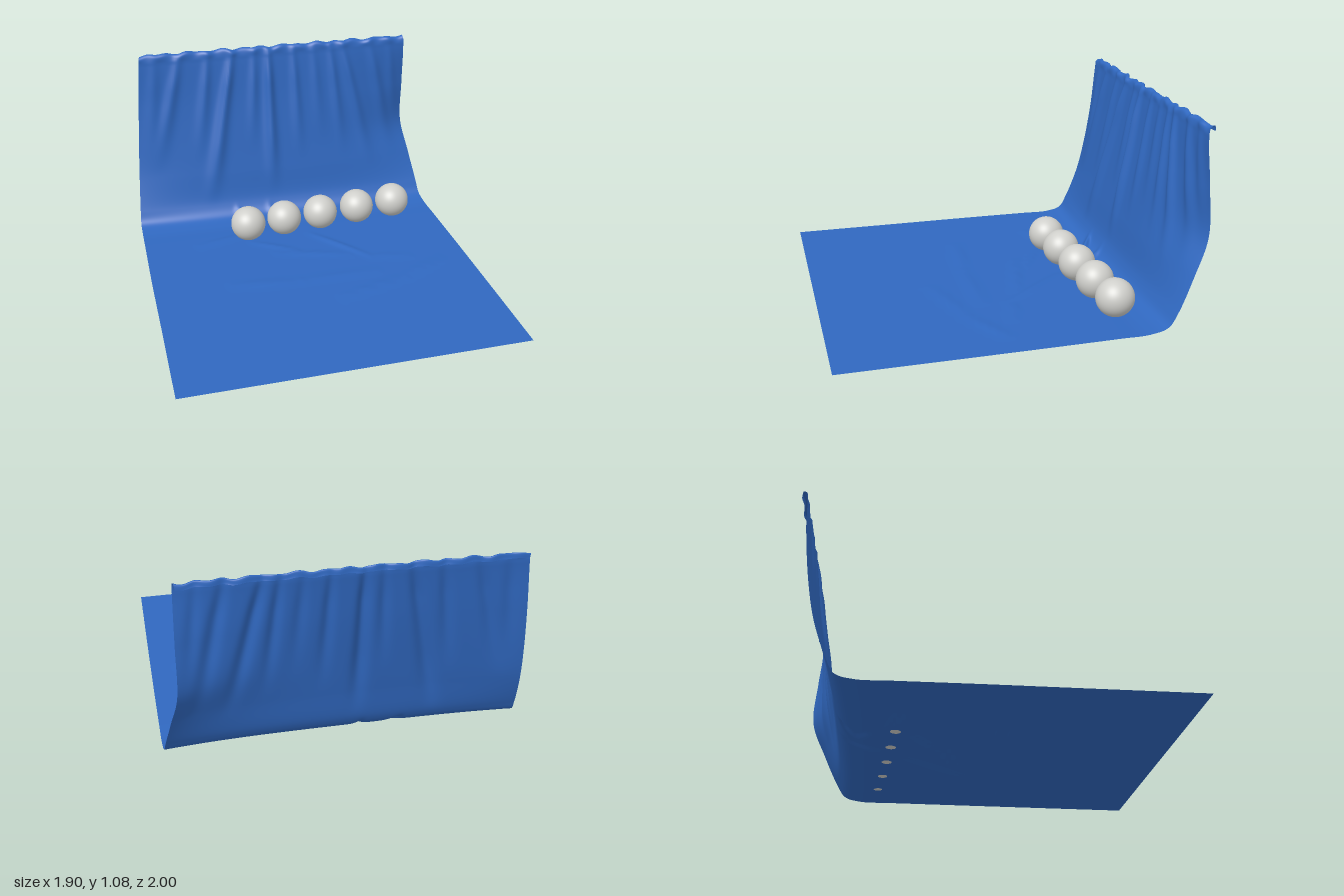
import * as THREE from 'three';

const blue = new THREE.MeshStandardMaterial({ color: 0x3068c0, side: THREE.DoubleSide });
blue.name = 'blue cloth';
const grey = new THREE.MeshStandardMaterial({ color: 0xcfcfcb });
grey.name = 'pale grey';

const curve = (pts) => new THREE.CatmullRomCurve3(pts.map((p) => new THREE.Vector3(...p)));

// Cloth cross-sections, running from the front of the floor up to the rolled hem
const leftEdge = curve([
  [-0.94, 0.004, 1], [-0.945, 0.004, 0.4], [-0.95, 0.004, -0.1], [-0.95, 0.004, -0.5], [-0.95, 0.005, -0.67],
  [-0.95, 0.03, -0.76], [-0.945, 0.1, -0.8], [-0.93, 0.3, -0.87], [-0.915, 0.5, -0.91], [-0.895, 0.75, -0.94],
  [-0.875, 1, -0.955], [-0.87, 1.06, -0.962], [-0.865, 1.07, -0.98], [-0.86, 1.045, -0.985],
]);
const middle = curve([
  [0, 0.004, 0.982], [0, 0.004, 0.4], [0, 0.004, -0.1], [0, 0.004, -0.5], [0, 0.006, -0.65],
  [0, 0.03, -0.735], [0, 0.1, -0.785], [0, 0.3, -0.83], [0, 0.5, -0.87], [0, 0.75, -0.915],
  [0, 1, -0.95], [0, 1.06, -0.96], [0, 1.072, -0.98], [0, 1.045, -0.987],
]);
const rightEdge = curve([
  [0.95, 0.004, 0.964], [0.94, 0.004, 0.4], [0.93, 0.004, -0.1], [0.92, 0.004, -0.5], [0.915, 0.005, -0.67],
  [0.908, 0.03, -0.77], [0.9, 0.1, -0.82], [0.868, 0.28, -0.91], [0.832, 0.48, -0.992], [0.827, 0.75, -0.98],
  [0.822, 1, -0.957], [0.82, 1.06, -0.962], [0.815, 1.07, -0.985], [0.81, 1.045, -0.992],
]);

// Hanging folds: x at the top, sideways drift towards the floor, width, depth, lowest height
const folds = [
  [-0.78, -0.1, 0.05, 0.012, 0.3], [-0.63, -0.25, 0.045, 0.02, 0.3], [-0.45, -0.14, 0.04, 0.018, 0.35],
  [-0.3, -0.2, 0.04, 0.028, 0.05], [-0.16, -0.06, 0.035, 0.016, 0.4], [-0.07, -0.01, 0.035, 0.03, 0.1],
  [0.09, 0.03, 0.035, 0.018, 0.3], [0.22, 0.06, 0.04, 0.012, 0.4], [0.33, 0.1, 0.035, 0.018, 0.3],
  [0.41, 0.22, 0.04, 0.022, 0.2], [0.59, 0.2, 0.045, 0.02, 0.25], [0.72, 0.1, 0.04, 0.01, 0.4],
];

// Floor wrinkles: x and z of both ends, width, height
const wrinkles = [
  [-0.5, 0.06, -0.1, 0.1, 0.035, 0.008], [-0.1, 0.1, 0.36, 0.09, 0.035, 0.008],
  [0.08, 0.33, 0.5, 0.2, 0.03, 0.008], [0.5, 0.2, 0.77, 0.05, 0.035, 0.008],
  [-0.18, -0.24, 0.25, -0.13, 0.025, 0.009], [0.08, -0.42, 0.36, -0.08, 0.03, 0.01],
  [0.36, -0.07, 0.6, -0.03, 0.025, 0.007], [-0.3, -0.4, -0.05, -0.25, 0.025, 0.009],
  [-0.62, -0.43, -0.36, -0.51, 0.03, 0.008], [-0.33, -0.76, -0.2, -0.68, 0.025, 0.03],
  [-0.2, -0.68, -0.27, -0.62, 0.025, 0.02], [-0.12, -0.76, -0.03, -0.58, 0.03, 0.022],
];

function wrinkleHeight(x, z) {
  let sum = 0;
  for (const [x0, z0, x1, z1, w, h] of wrinkles) {
    const dx = x1 - x0, dz = z1 - z0;
    const t = THREE.MathUtils.clamp(((x - x0) * dx + (z - z0) * dz) / (dx * dx + dz * dz), 0, 1);
    const d = Math.hypot(x - x0 - t * dx, z - z0 - t * dz) / w;
    sum += h * Math.exp(-d * d * 2) * (0.35 + 0.65 * Math.sin(Math.PI * t));
  }
  return sum;
}

function foldDepth(x, y) {
  const { smoothstep } = THREE.MathUtils;
  let sum = 0;
  for (const [top, drift, w, depth, low] of folds) {
    const below = Math.max(0, 1.05 - y);
    const width = w * (0.6 + 0.7 * below);
    const d = (x - top - drift * below) / width;
    sum += depth * Math.exp(-d * d) * smoothstep(y, low, low + 0.45);
  }
  return sum * (1 - 0.6 * smoothstep(y, 0.85, 1.06));
}

function clothGeometry() {
  const cols = 170, rows = 190;
  const geo = new THREE.PlaneGeometry(1, 1, cols, rows);
  const pos = geo.attributes.position;
  const l = new THREE.Vector3(), m = new THREE.Vector3(), r = new THREE.Vector3();
  for (let j = 0; j <= rows; j++) {
    // Few rows on the flat front, more in the bend and the hem
    const v = 1 - j / rows;
    leftEdge.getPoint(1 - v, l);
    middle.getPoint(1 - v, m);
    rightEdge.getPoint(1 - v, r);
    for (let i = 0; i <= cols; i++) {
      const s = (i / cols) * 2 - 1;
      const edge = s < 0 ? l : r;
      const k = Math.pow(Math.abs(s), 3);
      const x = THREE.MathUtils.lerp(l.x, r.x, i / cols);
      let y = THREE.MathUtils.lerp(m.y, edge.y, k);
      // The front hem runs straight, so it is blended evenly
      const kz = j < rows * 0.25 ? Math.abs(s) : k;
      let z = THREE.MathUtils.lerp(m.z, edge.z, kz);
      const wall = THREE.MathUtils.smoothstep(y, 0.03, 0.2);
      z += foldDepth(x, y) * wall;
      y += wrinkleHeight(x, z) * (1 - wall);
      // Gathered, uneven hem
      const hem = THREE.MathUtils.smoothstep(y, 1.02, 1.06);
      y += hem * 0.004 * (Math.sin(x * 31) + Math.sin(x * 53 + 1));
      z += hem * 0.004 * Math.sin(x * 43 + 2);
      pos.setXYZ(j * (cols + 1) + i, x, y, Math.max(z, -1));
    }
  }
  // Rows run from front to back, so turn the faces to look up and forward
  const index = geo.index;
  for (let i = 0; i < index.count; i += 3) {
    const a = index.getX(i);
    index.setX(i, index.getX(i + 1));
    index.setX(i + 1, a);
  }
  geo.computeVertexNormals();
  return geo;
}

export function createModel() {
  const group = new THREE.Group();
  group.name = 'backdropWithBalls';

  const cloth = new THREE.Mesh(clothGeometry(), blue);
  cloth.name = 'clothBackdrop';
  group.add(cloth);

  // Row of balls, set slightly askew
  const radius = 0.106;
  const ballGeometry = new THREE.SphereGeometry(radius, 48, 32);
  const spots = [[-0.31, -0.473], [-0.078, -0.495], [0.16, -0.517], [0.405, -0.54], [0.65, -0.568]];
  spots.forEach(([x, z], i) => {
    const ball = new THREE.Mesh(ballGeometry, grey);
    ball.name = `ball${i + 1}`;
    ball.position.set(x, radius, z);
    group.add(ball);
  });
  return group;
}
